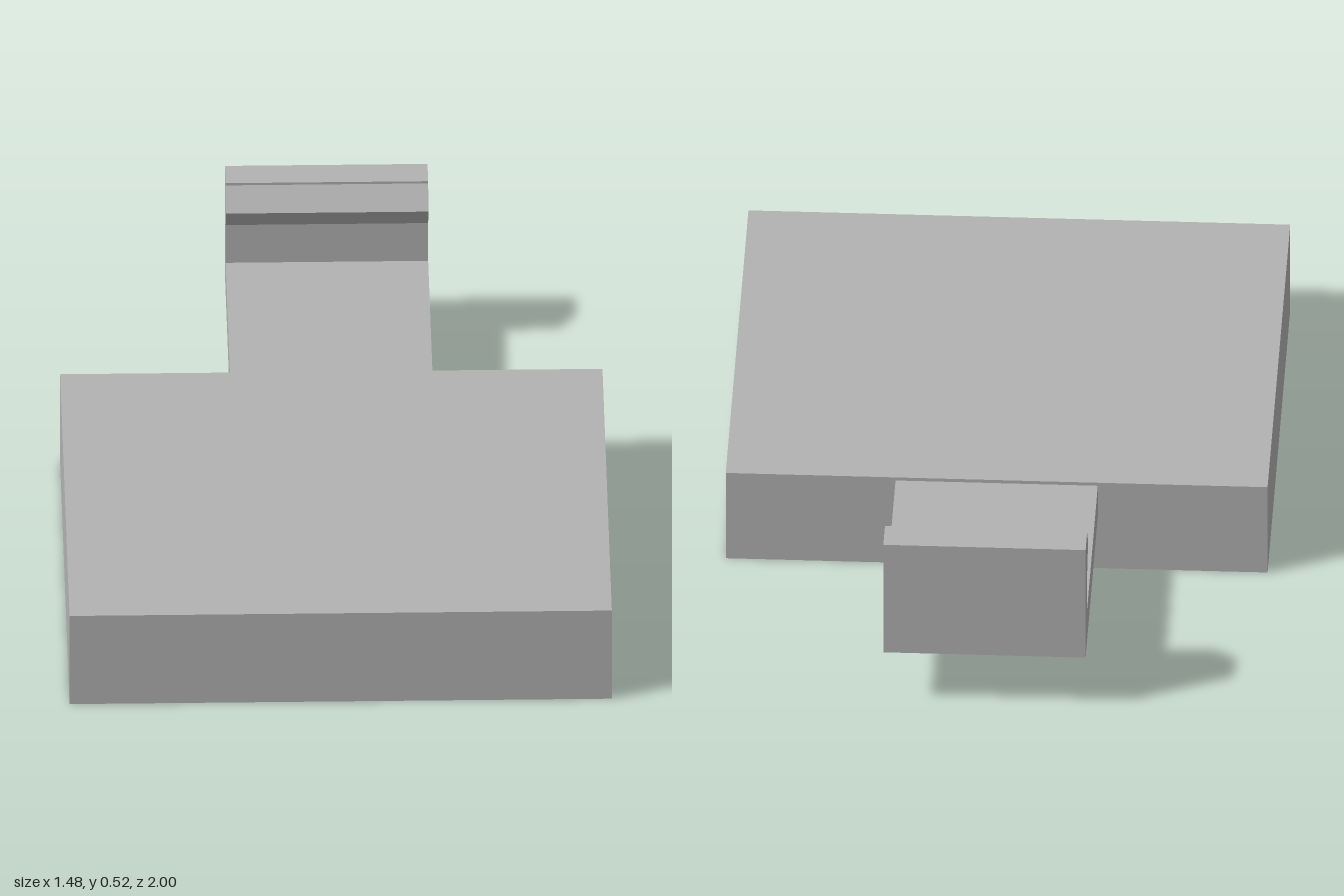
import * as THREE from 'three';

export function createModel() {
  const model = new THREE.Group();
  const grey = new THREE.MeshStandardMaterial({ color: 0xb2b2b2 });
  grey.name = 'plain grey';

  // Square base block
  const base = new THREE.Mesh(new THREE.BoxGeometry(1.484, 0.28, 1.3), grey);
  base.name = 'baseBlock';
  base.position.set(0, 0.14, 0.35);
  model.add(base);

  // Rear arm with upright clip and hooked lip, drawn as a (z, y) side profile
  const profile = [
    [-0.3, 0.17], [-0.3, 0.27], [-0.907, 0.27], [-0.907, 0.39],
    [-0.855, 0.457], [-0.907, 0.516], [-0.907, 0.523], [-1, 0.523], [-1, 0.17],
  ];
  const shape = new THREE.Shape(profile.map(([z, y]) => new THREE.Vector2(z, y)));
  const width = 0.554;
  const geometry = new THREE.ExtrudeGeometry(shape, { depth: width, bevelEnabled: false });
  geometry.translate(0, 0, -width / 2);
  geometry.rotateY(-Math.PI / 2); // profile z runs along model z, width along x
  const clip = new THREE.Mesh(geometry, grey);
  clip.name = 'clipArm';
  model.add(clip);

  return model;
}
